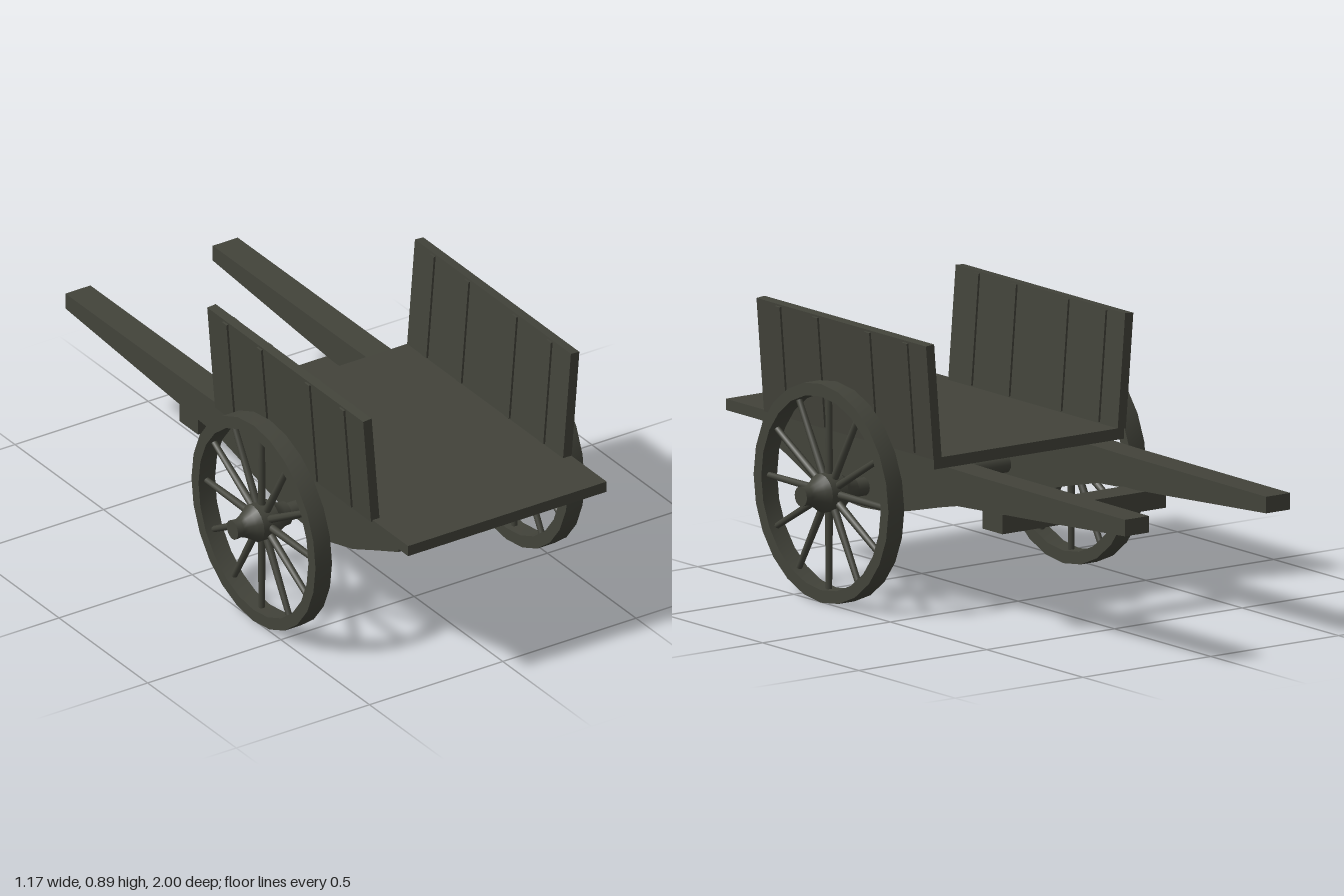
import * as THREE from 'three';
import { toCreasedNormals } from 'three/addons/utils/BufferGeometryUtils.js';

const CX = 0.015;              // middle of the cart body
const AXLE_Y = 0.353, AXLE_Z = 0.353;

export function createModel() {
  const cart = new THREE.Group();
  cart.name = 'handcart';
  const wood = new THREE.MeshStandardMaterial({ color: 0x42433a });
  wood.name = 'dark wood';

  const add = (parent, name, geometry, x = 0, y = 0, z = 0) => {
    const mesh = new THREE.Mesh(geometry, wood);
    mesh.name = name;
    mesh.position.set(x, y, z);
    parent.add(mesh);
    return mesh;
  };
  const box = (w, h, d) => new THREE.BoxGeometry(w, h, d);
  // Turned part whose axis lies along x; points are [radius, x]
  const turned = (points, segments) => toCreasedNormals(
    new THREE.LatheGeometry(points.map(([r, a]) => new THREE.Vector2(r, a)), segments)
      .rotateZ(-Math.PI / 2), 0.6);

  // Flat bed
  add(cart, 'bed', box(0.745, 0.036, 1.08), 0.0175, 0.508, 0.46);

  // Shaped side beams running back into the handles, outline as [z, y]
  const outline = [[0.88, 0.49], [0.88, 0.435], [0.76, 0.385], [0.62, 0.325], [0.5, 0.293],
    [0.36, 0.284], [0.22, 0.293], [0.1, 0.32], [-0.04, 0.355], [-0.13, 0.375],
    [-0.5, 0.398], [-1, 0.432], [-1, 0.485], [-0.23, 0.488], [-0.1, 0.49]];
  const beamShape = new THREE.Shape(outline.map(([z, y]) => new THREE.Vector2(-z, y)));
  const beamGeometry = toCreasedNormals(
    new THREE.ExtrudeGeometry(beamShape, { depth: 0.094, bevelEnabled: false })
      .translate(0, 0, -0.047).rotateY(Math.PI / 2), 0.5);

  // Crossbar between the handles, and the axle
  add(cart, 'crossbar', box(0.64, 0.062, 0.104), 0.0125, 0.356, -0.308);
  add(cart, 'axle', new THREE.CylinderGeometry(0.029, 0.029, 0.78, 16).rotateZ(Math.PI / 2),
    0, AXLE_Y, AXLE_Z);

  const rimGeometry = turned(
    [[0.31, -0.031], [0.35, -0.031], [0.35, 0.031], [0.31, 0.031], [0.31, -0.031]], 24);
  const hubGeometry = turned(
    [[0, -0.09], [0.038, -0.09], [0.04, -0.068], [0.048, -0.05], [0.062, -0.031],
      [0.062, 0.031], [0.048, 0.05], [0.036, 0.07], [0.03, 0.085], [0.032, 0.11],
      [0, 0.11]], 16);
  const spokeGeometry = new THREE.CylinderGeometry(0.01, 0.013, 0.27, 8);

  for (const side of [-1, 1]) {
    const label = side > 0 ? 'left' : 'right';
    add(cart, label + 'Beam', beamGeometry, 0.0125 + side * 0.2765, 0, 0);

    // Side board, leaning outward, with battens on both faces
    const board = new THREE.Group();
    board.name = label + 'SideBoard';
    board.position.set(CX + side * 0.375, 0.706, 0);
    board.rotation.z = -side * 0.08;
    cart.add(board);
    add(board, 'panel', box(0.032, 0.368, 0.88), 0, 0, 0.36);
    for (const z of [0.685, 0.49, 0.22, 0.025]) {
      add(board, 'batten', box(0.046, 0.355, 0.026), 0, 0, z);
    }

    // Spoked wheel
    const wheel = new THREE.Group();
    wheel.name = label + 'Wheel';
    wheel.position.set(side * 0.474, AXLE_Y, AXLE_Z);
    if (side < 0) wheel.rotation.y = Math.PI;
    cart.add(wheel);
    add(wheel, 'rim', rimGeometry);
    add(wheel, 'hub', hubGeometry);
    for (let i = 0; i < 12; i++) {
      const a = i * Math.PI / 6;
      const spoke = add(wheel, 'spoke', spokeGeometry,
        0, Math.cos(a) * 0.185, Math.sin(a) * 0.185);
      spoke.rotation.x = a;
    }
  }
  return cart;
}
